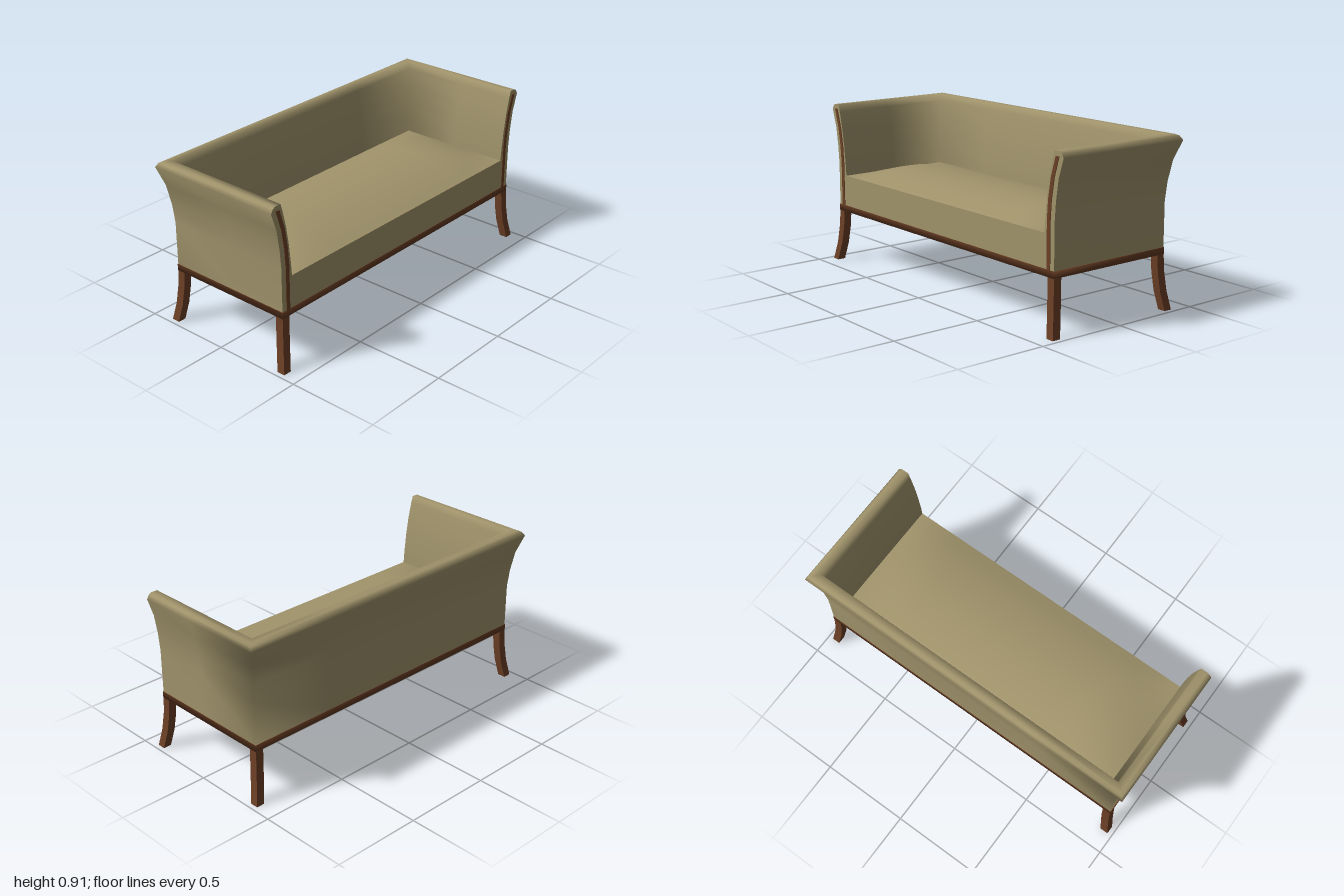
import * as THREE from 'three';
import { toCreasedNormals } from 'three/addons/utils/BufferGeometryUtils.js';

const fabric = new THREE.MeshStandardMaterial({ color: 0xa0936b });
fabric.name = 'oliveFabric';
const wood = new THREE.MeshStandardMaterial({ color: 0x6b3f25 });
wood.name = 'brownWood';

const FRONT = 0.382, SIDE = 0.94, BACK = -0.355;

// Skin a list of equal-length point rows; closed joins each row's end to its start
function loft(rows, closed = false, cap = false) {
  const n = rows[0].length, index = [];
  for (let i = 0; i < rows.length - 1; i++) {
    for (let j = 0; j < (closed ? n : n - 1); j++) {
      const a = i * n + j, a2 = i * n + (j + 1) % n, b = a + n, b2 = a2 + n;
      index.push(a, b, a2, b, b2, a2);
    }
  }
  if (cap) {
    const s = (rows.length - 1) * n;
    for (let j = 1; j < n - 1; j++) index.push(s, s + j + 1, s + j);
  }
  const geo = new THREE.BufferGeometry();
  geo.setAttribute('position', new THREE.Float32BufferAttribute(rows.flat(2), 3));
  geo.setIndex(index);
  geo.computeVertexNormals();
  return geo;
}

// Horizontal rectangle, wound so that a downward loft faces outwards
const rect = (x0, x1, y, z0, z1) => [[x0, y, z1], [x1, y, z1], [x1, y, z0], [x0, y, z0]];

export function createModel() {
  const group = new THREE.Group();
  const add = (name, geo, mat) => {
    const mesh = new THREE.Mesh(geo, mat);
    mesh.name = name;
    group.add(mesh);
    return mesh;
  };

  // Flared section of arms and back: outward offset, height
  const section = [
    [0, 0.325], [0, 0.57], [0.008, 0.67], [0.025, 0.78], [0.058, 0.88], [0.045, 0.902], [0.03, 0.91],
    [-0.006, 0.91], [-0.018, 0.87], [-0.039, 0.78], [-0.055, 0.68], [-0.067, 0.57], [-0.074, 0.47], [-0.075, 0.325],
  ];

  // Arms and back swept as one mitred U
  const half = [
    e => [SIDE + e, FRONT],
    e => [SIDE + e, 0.05],
    e => [SIDE + e, BACK - e],
    e => [0.45, BACK - e],
  ];
  const mirrored = half.map(f => e => { const [x, z] = f(e); return [-x, z]; }).reverse();
  const rows = [...half, ...mirrored].map(f => section.map(([e, y]) => {
    const [x, z] = f(e);
    return [x, y, z];
  }));
  add('armsAndBack', loft(rows), fabric);

  // Arm front panels with a wooden strip following the flare
  const strip = [[0.9, 0.325], [0.9, 0.57], [0.907, 0.67], [0.925, 0.78], [0.957, 0.885]];
  const w = 0.012;
  for (const s of [1, -1]) {
    const side = s > 0 ? 'left' : 'right';
    const panel = new THREE.Shape(section.map(([e, y]) => new THREE.Vector2(s * (SIDE + e), y)));
    add(side + 'ArmFront', new THREE.ShapeGeometry(panel), fabric).position.z = FRONT;

    const outline = [
      ...strip.map(([x, y]) => new THREE.Vector2(s * (x + w), y)),
      ...[...strip].reverse().map(([x, y]) => new THREE.Vector2(s * (x - w), y)),
    ];
    const stripGeo = new THREE.ExtrudeGeometry(new THREE.Shape(outline), { depth: 0.004, bevelEnabled: false });
    add(side + 'ArmStrip', stripGeo, wood).position.z = FRONT - 0.001;
  }

  // Seat block
  const seatBack = -0.29, seatW = 0.87, seatTop = 0.505;
  const block = new THREE.BoxGeometry(seatW * 2, seatTop - 0.325, FRONT - seatBack);
  add('seatBlock', block, fabric).position.set(0, (seatTop + 0.325) / 2, (FRONT + seatBack) / 2);

  // Crowned seat top
  const crown = new THREE.PlaneGeometry(seatW * 2, FRONT - seatBack, 36, 12);
  crown.rotateX(-Math.PI / 2);
  const p = crown.attributes.position, halfDepth = (FRONT - seatBack) / 2;
  for (let i = 0; i < p.count; i++) {
    const u = Math.max(0, (Math.abs(p.getX(i)) - 0.55) / (seatW - 0.55));
    const v = p.getZ(i) / halfDepth;
    p.setY(i, 0.06 * (1 - u * u) * (1 - v * v));
  }
  crown.computeVertexNormals();
  add('seatTop', crown, fabric).position.set(0, seatTop, (FRONT + seatBack) / 2);

  // Wooden base rail with closed underside
  add('baseRail', loft([0.329, 0.293].map(y => rect(-0.943, 0.943, y, -0.357, 0.384)), true, true), wood);
  const ledge = new THREE.PlaneGeometry(1.886, 0.741).rotateX(-Math.PI / 2);
  add('baseTop', ledge, wood).position.set(0, 0.329, 0.0135);

  // Splayed legs: height, outward offset
  const splay = [[0.295, 0], [0.2, 0.004], [0.1, 0.014], [0, 0.032]];
  const t = 0.046;
  for (const sx of [1, -1]) {
    for (const sz of [1, -1]) {
      const legRows = splay.map(([y, e]) => {
        const x = sx * (0.941 + e - t / 2), z = sz * ((sz > 0 ? 0.383 : 0.357) + e - t / 2);
        return rect(x - t / 2, x + t / 2, y, z - t / 2, z + t / 2);
      });
      const name = (sz > 0 ? 'front' : 'back') + (sx > 0 ? 'Left' : 'Right') + 'Leg';
      add(name, toCreasedNormals(loft(legRows, true, true), 0.6), wood);
    }
  }
  return group;
}
